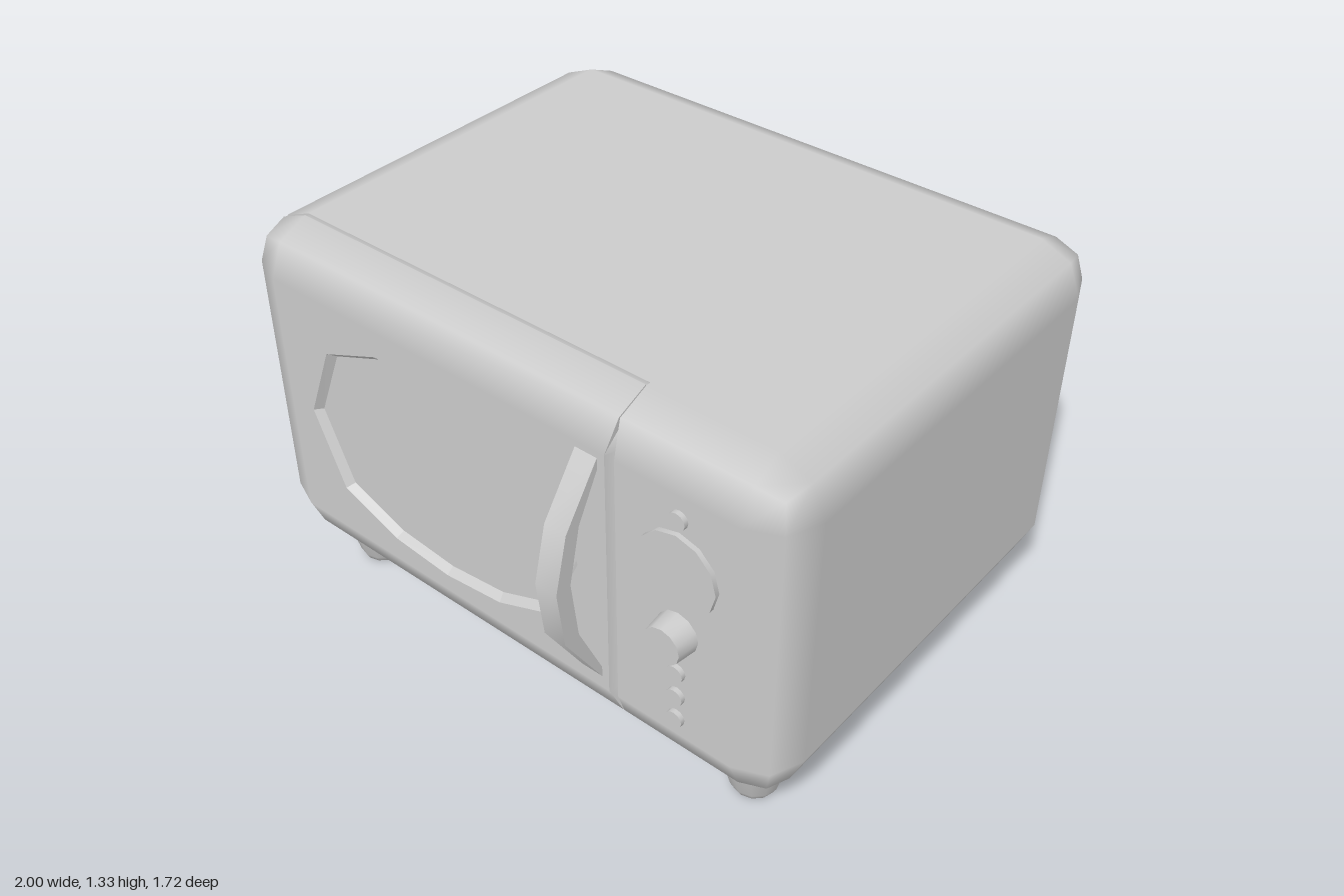
import * as THREE from 'three';
import { toCreasedNormals } from 'three/addons/utils/BufferGeometryUtils.js';
import { RoundedBoxGeometry } from 'three/addons/geometries/RoundedBoxGeometry.js';

const FRONT = 0.69, R = 0.145;
const material = new THREE.MeshStandardMaterial({ color: 0xcccccc });

function part(parent, name, geometry, x = 0, y = 0, z = 0) {
  const mesh = new THREE.Mesh(geometry, material);
  mesh.name = name;
  mesh.position.set(x, y, z);
  parent.add(mesh);
  return mesh;
}

// The rounded case, cut by limits on x and z; triangles flattened on to a cut get its normal.
function casePiece({ minX, maxX, minZ = -9, maxZ = 9, openFront = false }) {
  const g = new RoundedBoxGeometry(2, 1.15, 1.55, 1, R).translate(0, 0.75, -0.085);
  const src = g.attributes.position, nrm = g.attributes.normal;
  const pos = [], nor = [];
  const area = new THREE.Triangle(), flat = new THREE.Vector3();
  for (let t = 0; t < src.count; t += 3) {
    const pts = [0, 1, 2].map((k) => {
      const v = new THREE.Vector3().fromBufferAttribute(src, t + k);
      v.z = Math.min(maxZ, Math.max(minZ, v.z));
      if (maxX) v.x = Math.min(v.x, maxX(v.z));
      if (minX) v.x = Math.max(v.x, minX(v.z));
      return v;
    });
    area.set(...pts);
    if (area.getArea() < 1e-7) continue;
    if (openFront && pts.every((p) => p.z > FRONT - 1e-4)) continue;
    area.getNormal(flat);
    pts.forEach((p, k) => {
      const n = new THREE.Vector3().fromBufferAttribute(nrm, t + k);
      if (n.dot(flat) < 0.7) n.copy(flat);
      pos.push(p.x, p.y, p.z);
      nor.push(n.x, n.y, n.z);
    });
  }
  const out = new THREE.BufferGeometry();
  out.setAttribute('position', new THREE.Float32BufferAttribute(pos, 3));
  out.setAttribute('normal', new THREE.Float32BufferAttribute(nor, 3));
  return out;
}

// Twelve-sided rounded window outline, counter-clockwise, inset by a margin.
function windowOutline(inset) {
  const q = [[0.54, 0], [0.435, 0.255], [0.22, 0.342], [0, 0.365]];
  const half = [...q, ...q.slice(0, 3).reverse().map(([x, y]) => [-x, y])];
  const all = [...half, ...half.slice(1, 6).reverse().map(([x, y]) => [x, -y])];
  return all.map(([x, y]) => new THREE.Vector2(
    -0.22 + x * (1 - inset / 0.54), 0.745 + y * (1 - inset / 0.365)));
}

// Sloping band between two outlines at two depths.
function band(outer, zOuter, inner, zInner) {
  const pos = [];
  const n = outer.length;
  for (let i = 0; i < n; i++) {
    const j = (i + 1) % n;
    const a = [outer[i].x, outer[i].y, zOuter], b = [outer[j].x, outer[j].y, zOuter];
    const c = [inner[j].x, inner[j].y, zInner], d = [inner[i].x, inner[i].y, zInner];
    pos.push(...a, ...b, ...c, ...a, ...c, ...d);
  }
  const g = new THREE.BufferGeometry();
  g.setAttribute('position', new THREE.Float32BufferAttribute(pos, 3));
  g.computeVertexNormals();
  return g;
}

// Round control standing out from the front panel.
function control(parent, name, y, baseRadius, topRadius, depth) {
  const g = new THREE.CylinderGeometry(topRadius, baseRadius, depth + 0.02, 12).rotateX(Math.PI / 2);
  part(parent, name, toCreasedNormals(g, 0.8), 0.67, y, FRONT + depth / 2 - 0.01);
}

export function createModel() {
  const model = new THREE.Group();
  model.name = 'microwaveOven';

  // Case and control panel
  part(model, 'body', casePiece({ maxZ: 0.53 }));
  part(model, 'controlPanel', casePiece({
    minZ: 0.53, minX: (z) => 0.443 + Math.max(0, z - 0.647) * 0.35 }));

  // Door with a recessed window
  const door = new THREE.Group();
  door.name = 'door';
  model.add(door);
  const edge = (z) => 0.44 - Math.max(0, z - 0.647) * 0.35;
  part(door, 'doorFrame', casePiece({ minZ: 0.543, maxX: edge, openFront: true }));
  const x0 = -1 + R, x1 = edge(FRONT), y0 = 0.175 + R, y1 = 1.325 - R;
  const face = new THREE.Shape([[x0, y0], [x1, y0], [x1, y1], [x0, y1]].map((p) => new THREE.Vector2(...p)));
  const outer = windowOutline(0), inner = windowOutline(0.02);
  face.holes.push(new THREE.Path(outer));
  part(door, 'doorFace', new THREE.ShapeGeometry(face), 0, 0, FRONT);
  part(door, 'windowRim', band(outer, FRONT, inner, FRONT - 0.025));
  part(door, 'windowGlass', new THREE.ShapeGeometry(new THREE.Shape(inner)), 0, 0, FRONT - 0.025);

  // Bowed handle: side profile in (z, y), extruded across x
  const bow = [[0.685, 0.355], [0.835, 0.6], [0.86, 0.8], [0.815, 0.98], [0.685, 1.165],
    [0.685, 1.13], [0.765, 0.98], [0.805, 0.8], [0.78, 0.6], [0.685, 0.39]];
  const handle = new THREE.ExtrudeGeometry(
    new THREE.Shape(bow.map(([z, y]) => new THREE.Vector2(-z, y))),
    { depth: 0.075, bevelEnabled: false }).rotateY(Math.PI / 2);
  part(door, 'handle', toCreasedNormals(handle, 0.6), 0.325, 0, 0);

  // Dial, knob and buttons
  control(model, 'dial', 0.93, 0.13, 0.13, 0.015);
  control(model, 'knob', 0.715, 0.07, 0.06, 0.07);
  for (const y of [1.105, 0.565, 0.475, 0.388]) control(model, 'button', y, 0.028, 0.028, 0.015);

  // Tapered feet
  const profile = [[0, 0], [0.05, 0], [0.067, 0.008], [0.078, 0.03], [0.115, 0.172], [0.108, 0.18], [0, 0.18]]
    .map((p) => new THREE.Vector2(...p));
  const foot = toCreasedNormals(new THREE.LatheGeometry(profile, 12), 0.8);
  for (const x of [-0.79, 0.79]) {
    part(model, 'frontFoot', foot, x, 0, 0.47);
    part(model, 'backFoot', foot, x, 0, -0.63);
  }
  return model;
}
